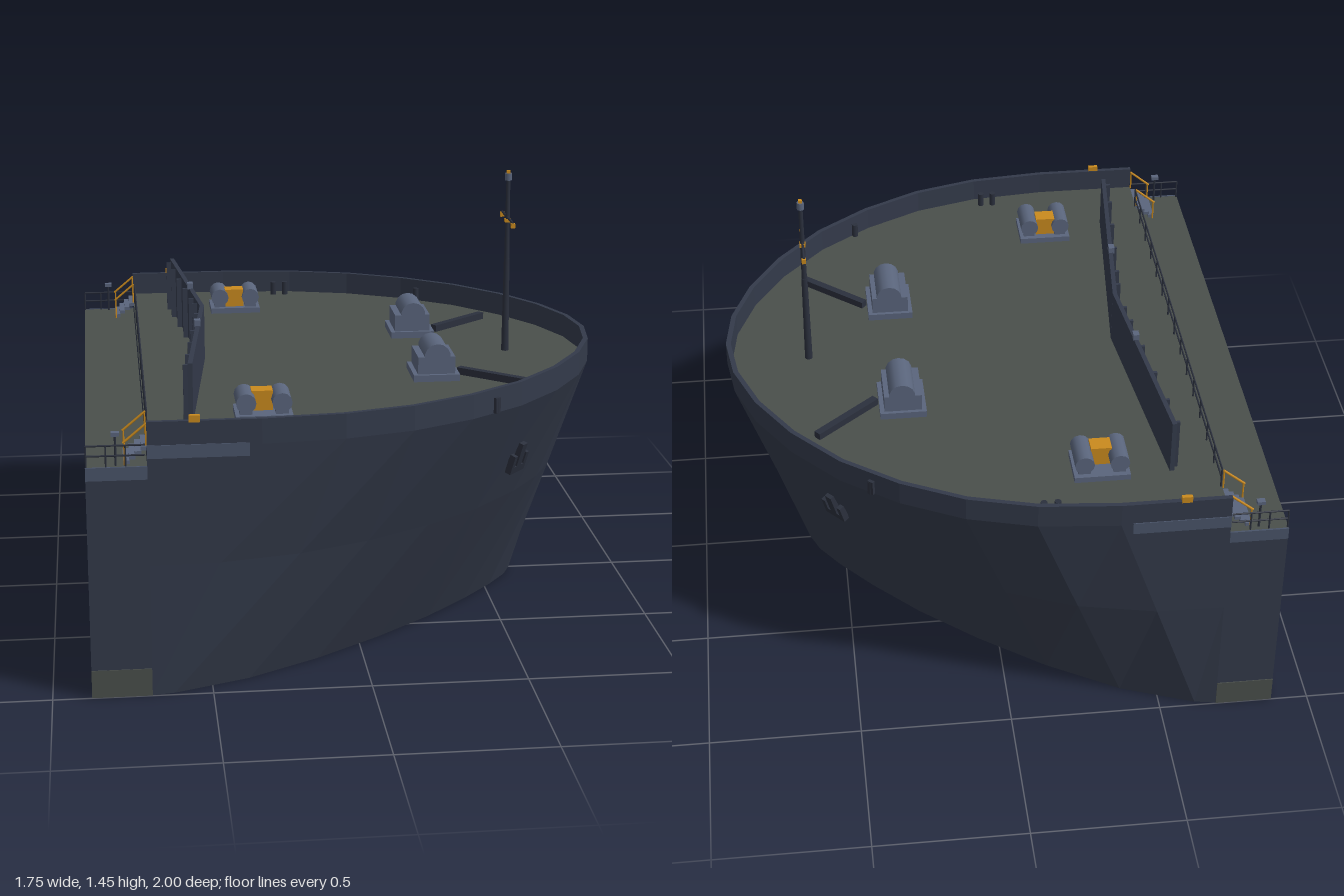
import * as THREE from 'three';

const mat = (name, color) => Object.assign(new THREE.MeshStandardMaterial({ color }), { name });

export function createModel() {
  const root = new THREE.Group();
  root.name = 'shipBow';
  const hullMat = mat('hull navy', 0x333a4a);
  const deckMat = mat('deck grey green', 0x4a4f4b);
  const steelMat = mat('light steel', 0x5a657c);
  const trimMat = mat('trim blue', 0x4a546a);
  const darkMat = mat('dark steel', 0x2b303d);
  const orangeMat = mat('safety orange', 0xc98a1e);

  const add = (name, geo, m, x = 0, y = 0, z = 0) => {
    const mesh = new THREE.Mesh(geo, m);
    mesh.name = name;
    mesh.position.set(x, y, z);
    root.add(mesh);
    return mesh;
  };
  const box = (name, m, x, y, z, w, h, d) => add(name, new THREE.BoxGeometry(w, h, d), m, x, y, z);
  const V = (x, y, z) => new THREE.Vector3(x, y, z);
  // round bar between two points
  const rod = (name, m, a, b, r, r2 = r, sides = 8) => {
    const mid = a.clone().add(b).multiplyScalar(0.5);
    const o = add(name, new THREE.CylinderGeometry(r2, r, a.distanceTo(b), sides), m, mid.x, mid.y, mid.z);
    o.quaternion.setFromUnitVectors(V(0, 1, 0), b.clone().sub(a).normalize());
    return o;
  };
  // upright wall or bar between two points on plan
  const wall = (name, m, x1, z1, x2, z2, y, h, t) => {
    const o = box(name, m, (x1 + x2) / 2, y + h / 2, (z1 + z2) / 2, Math.hypot(x2 - x1, z2 - z1), h, t);
    o.rotation.y = -Math.atan2(z2 - z1, x2 - x1);
    return o;
  };
  const shapeOf = (pts, sign) => new THREE.Shape(pts.map(([x, z]) => new THREE.Vector2(x, sign * z)));

  // hull sections: half outlines [x, z] from the step to the stem
  const B = 0.996, STEP = -0.69, DECK = 0.81, AFT = 0.75, TOP = 0.89;
  const top = [[STEP, B], [-0.34, B], [-0.08, 0.972], [0.14, 0.912], [0.34, 0.812], [0.52, 0.68],
    [0.67, 0.515], [0.78, 0.34], [0.848, 0.165], [0.87, 0]];
  const low = [[STEP, B], [-0.62, 0.985], [-0.38, 0.895], [-0.15, 0.76], [0.07, 0.6], [0.26, 0.44],
    [0.41, 0.29], [0.52, 0.165], [0.59, 0.07], [0.62, 0]];
  const mid = low.map(([x, z], i) => [x + (top[i][0] - x) * 0.53, z + (top[i][1] - z) * 0.57]);
  const full = (half) => [...half, ...half.slice(0, -1).reverse().map(([x, z]) => [x, -z])];
  const rings = [[low, 0], [mid, 0.43], [top, DECK]].map(([h, y]) => full(h).map(([x, z]) => V(x, y, z)));
  const pos = [];
  for (let r = 0; r < 2; r++) {
    const n = rings[r].length;
    for (let i = 0; i < n; i++) {
      const j = (i + 1) % n;
      const [a, b, c, d] = [rings[r][i], rings[r][j], rings[r + 1][j], rings[r + 1][i]];
      for (const p of [a, b, c, a, c, d]) pos.push(p.x, p.y, p.z);
    }
  }
  const sides = new THREE.BufferGeometry();
  sides.setAttribute('position', new THREE.Float32BufferAttribute(pos, 3));
  sides.computeVertexNormals();
  add('hullSides', sides, hullMat);
  add('hullBottom', new THREE.ShapeGeometry(shapeOf(full(low), 1)).rotateX(Math.PI / 2), hullMat);
  add('mainDeck', new THREE.ShapeGeometry(shapeOf(full(top), -1)).rotateX(-Math.PI / 2), deckMat, 0, DECK + 0.001, 0);

  // lower aft section
  box('aftHull', hullMat, -0.784, (AFT - 0.008) / 2, 0, 0.188, AFT - 0.008, 2 * B);
  box('aftDeck', deckMat, -0.784, AFT - 0.004, 0, 0.188, 0.008, 2 * B);

  // bulwark
  const outer = full(top);
  const inner = outer.map(([x, z]) => [x === STEP ? x : -0.34 + (x + 0.34) * 0.986, z * 0.984]);
  add('bulwark', new THREE.ExtrudeGeometry(shapeOf([...outer, ...inner.reverse()], -1),
    { depth: TOP - DECK, bevelEnabled: false }).rotateX(-Math.PI / 2), hullMat, 0, DECK, 0);

  // breakwater with stiffeners on its aft side
  const wx = (z) => -0.47 - 0.075 * Math.abs(z) / 0.745;

  // mast
  const mx = 0.59;
  rod('mastLower', darkMat, V(mx, DECK, 0), V(mx, 1.14, 0), 0.013, 0.01);
  rod('mastUpper', darkMat, V(mx, 1.14, 0), V(mx, 1.42, 0), 0.009, 0.007);
  rod('mastLamp', steelMat, V(mx, 1.415, 0), V(mx, 1.44, 0), 0.012);
  box('mastTopLight', orangeMat, mx, 1.445, 0, 0.012, 0.01, 0.012);
  rod('mastYard', darkMat, V(mx, 1.285, -0.1), V(mx, 1.285, 0.1), 0.004);
  box('yardCentreLight', orangeMat, mx, 1.275, 0, 0.02, 0.012, 0.02);

  for (const s of [1, -1]) {
    wall('breakwater', hullMat, wx(0), 0, wx(0.745), s * 0.745, DECK, 1 - DECK, 0.015);
    for (const z of [0.07, 0.15, 0.3, 0.45, 0.6, 0.72])
      box('breakwaterStiffener', hullMat, wx(z) - 0.014, 0.9, s * z, 0.02, 0.18, 0.01);
    box('breakwaterLamp', steelMat, wx(0.265) - 0.002, 1.008, s * 0.265, 0.02, 0.022, 0.028);

    // yard lights
    box('yardLight', orangeMat, mx, 1.276, s * 0.1, 0.014, 0.016, 0.014);

    // anchor windlass: bed, housing and drum
    const wz = s * 0.287;
    box('windlassBed', steelMat, 0.292, 0.822, wz, 0.155, 0.024, 0.18);
    box('windlassHousing', steelMat, 0.292, 0.862, wz, 0.125, 0.062, 0.156);
    rod('windlassDrum', steelMat, V(0.295, 0.893, wz - 0.078), V(0.295, 0.893, wz + 0.078), 0.044, 0.044, 14);
    wall('anchorChain', darkMat, 0.38, s * 0.283, 0.583, s * 0.455, DECK, 0.025, 0.025);

    // mooring winch
    const cz = s * 0.702;
    box('winchBed', steelMat, -0.315, 0.82, cz, 0.182, 0.022, 0.145);
    for (const x of [-0.372, -0.258]) {
      rod('winchDrum', steelMat, V(x, 0.868, cz - 0.06), V(x, 0.868, cz + 0.06), 0.032, 0.032, 12);
      box('winchCradle', steelMat, x, 0.84, cz, 0.04, 0.03, 0.11);
    }
    box('winchMotor', orangeMat, -0.318, 0.863, s * 0.684, 0.068, 0.064, 0.056);

    // bollards
    for (const [x, z] of [[-0.15, 0.915], [-0.106, 0.915], [0.383, 0.752], [0.425, 0.752]])
      rod('bollard', darkMat, V(x, DECK, s * z), V(x, DECK + 0.05, s * z), 0.011);

    // fairlead and anchor on the hull side
    const lead = box('fairlead', darkMat, 0.425, 0.837, s * 0.754, 0.02, 0.05, 0.016);
    lead.rotation.y = s * 0.64;
    const anchor = new THREE.Group();
    anchor.name = 'anchor';
    for (const [x, y, w, h] of [[0, 0.012, 0.028, 0.085], [0, -0.04, 0.085, 0.026], [-0.035, -0.015, 0.016, 0.06],
      [0.035, -0.015, 0.016, 0.06]]) {
      const part = new THREE.Mesh(new THREE.BoxGeometry(w, h, 0.022), darkMat);
      part.name = 'anchorPart';
      part.position.set(x, y, 0);
      anchor.add(part);
    }
    anchor.position.set(0.542, 0.59, s * 0.535);
    anchor.rotation.order = 'YXZ';
    anchor.rotation.set(0.3, s > 0 ? 0.84 : Math.PI - 0.84, 0);
    root.add(anchor);

    // painted side plates and bulwark marker
    box('aftUpperPlate', trimMat, -0.784, 0.73, s * B, 0.188, 0.042, 0.006);
    box('aftLowerPlate', deckMat, -0.784, 0.045, s * B, 0.188, 0.09, 0.006);
    box('sideStrip', trimMat, -0.534, 0.795, s * B, 0.312, 0.042, 0.006);
    box('bulwarkMarker', orangeMat, -0.545, 0.896, s * 0.99, 0.034, 0.022, 0.014);

    // stairs with handrails
    for (let i = 0; i < 4; i++)
      box('stairTread', steelMat, -0.752 + i * 0.018, AFT + 0.008 + i * 0.014, s * 0.91, 0.02, 0.012, 0.125);
    for (const z of [0.846, 0.974]) {
      rod('stairRail', orangeMat, V(-0.762, 0.82, s * z), V(-0.69, 0.88, s * z), 0.004, 0.004, 6);
      for (const [x, y] of [[-0.758, AFT], [-0.692, DECK]])
        rod('stairPost', orangeMat, V(x, y, s * z), V(x, y + 0.07, s * z), 0.003, 0.003, 6);
    }

    // aft side railing and deck lamp
    for (const y of [0.785, 0.817])
      rod('aftRail', darkMat, V(-0.875, y, s * 0.988), V(-0.695, y, s * 0.988), 0.003, 0.003, 6);
    for (const x of [-0.875, -0.815, -0.755])
      rod('aftRailPost', darkMat, V(x, AFT, s * 0.988), V(x, 0.817, s * 0.988), 0.003, 0.003, 6);
    rod('deckLampPost', darkMat, V(-0.785, AFT, s * 0.975), V(-0.785, 0.845, s * 0.975), 0.004, 0.004, 6);
    box('deckLamp', steelMat, -0.785, 0.85, s * 0.975, 0.026, 0.012, 0.02);
  }

  // railing along the step
  for (const y of [0.848, 0.882])
    rod('stepRail', darkMat, V(-0.686, y, -0.84), V(-0.686, y, 0.84), 0.003, 0.003, 6);
  for (let i = 0; i <= 14; i++) {
    const z = -0.84 + i * 0.12;
    rod('stepRailPost', darkMat, V(-0.686, DECK, z), V(-0.686, 0.882, z), 0.003, 0.003, 6);
  }
  return root;
}
